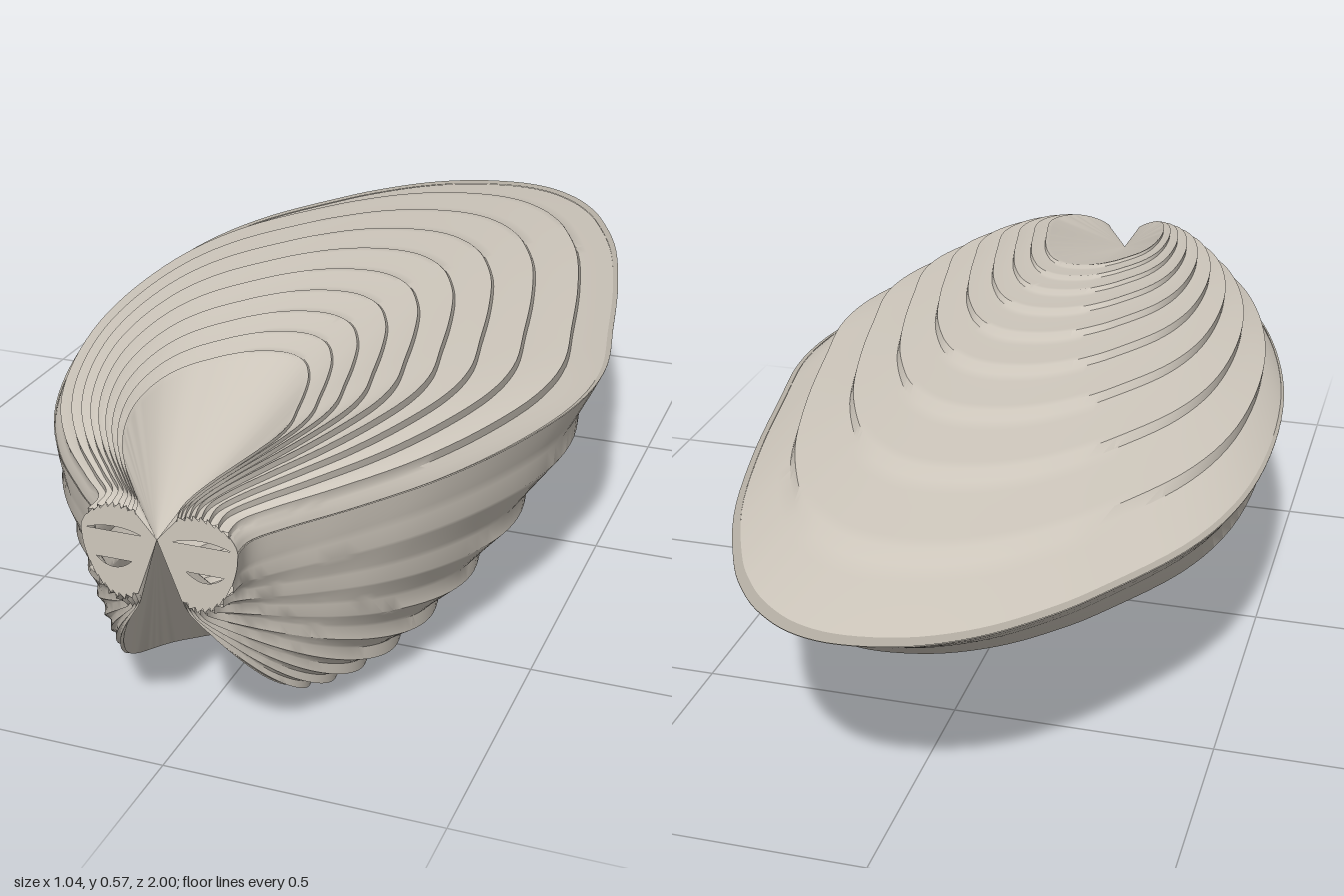
import * as THREE from 'three';
import { toCreasedNormals } from 'three/addons/utils/BufferGeometryUtils.js';

const HX = 0.01, HY = 0.43, RATIO = 0.86, COLS = 135;

// Rim outline (x, z) from the right ear, round the back, to the left ear
const rim = new THREE.SplineCurve([
  [-0.125, 1], [-0.128, 0.95], [-0.185, 0.89], [-0.29, 0.77], [-0.385, 0.61], [-0.46, 0.4],
  [-0.51, 0.16], [-0.525, -0.1], [-0.505, -0.34], [-0.443, -0.545], [-0.33, -0.74], [-0.26, -0.835],
  [-0.175, -0.92], [-0.075, -0.978], [0.035, -1], [0.12, -0.985], [0.19, -0.94], [0.245, -0.88],
  [0.3, -0.79], [0.375, -0.61], [0.437, -0.37], [0.483, -0.13], [0.518, 0.08], [0.507, 0.265],
  [0.45, 0.46], [0.37, 0.635], [0.275, 0.78], [0.195, 0.885], [0.153, 0.95], [0.15, 1],
].map(([x, z]) => new THREE.Vector2(x - HX, 1 - z))).getPoints(COLS);

// side: +1 upper, -1 lower; spiral: tightness; start, end: scales of the rim and the beak
const valves = {
  upper: { side: 1, spiral: 5.7, full: 7, ear: 0.045, tooth: 0.015, shift: 0.2, start: 0.985, end: 0.25 },
  lower: { side: -1, spiral: 1.62, full: 4, ear: 0.11, tooth: 0.022, shift: 0.35, start: 1, end: 0.28 },
};

const earDrop = (v, s) => v.ear * Math.sqrt(Math.max(0, Math.sin(Math.PI * Math.min(s, 1))));

// One point on a growth line: s is its scale about the hinge, saw its raised edge
function growthPoint(v, s, saw, p) {
  const angle = -Math.log(s / v.start) / v.spiral;
  const f = Math.max(0, p.y) / 2;
  const dome = (1 - Math.exp(-v.full * f)) / (1 - Math.exp(-v.full));
  const rise = 2 * s * Math.sin(angle) * dome
    + earDrop(v, s / v.start) * Math.exp(-f * 7)
    + v.tooth * saw * Math.min(1, s * 2) * (0.6 + 0.4 * Math.sin(Math.PI * f));
  return [
    HX + s * p.x * (1 + 0.02 * saw),
    Math.max(0, HY + v.side * rise),
    1 - s * Math.cos(angle) * Math.max(0, p.y),
  ];
}

// Valve lofted through overlapping growth layers, closed by a fan from beak to hinge
function valveGeometry(v) {
  const rows = [[v.start, 0]];
  for (let layer = 0; layer < 10; layer++) {
    for (const frac of [0, 0.12, 0.3, 0.5, 0.7, 0.88]) {
      const s = v.start * Math.pow(RATIO, layer + frac - v.shift);
      if (s >= v.start || s <= v.end * 1.01) continue;
      rows.push([s, layer === 0 ? 0 : Math.pow(1 - frac, 1.5)]);
    }
  }
  rows.push([v.end, 0.3]);

  const pos = [], idx = [], n = rim.length;
  const face = (a, b, c) => (v.side > 0 ? idx.push(a, c, b) : idx.push(a, b, c));
  for (const [s, saw] of rows) for (const p of rim) pos.push(...growthPoint(v, s, saw, p));
  const hinge = rows.length * n;
  pos.push(HX, HY, 1);
  for (let i = 0; i < rows.length; i++) {
    for (let j = 0; j < n - 1; j++) {
      const a = i * n + j;
      if (i === rows.length - 1) {
        face(a, a + 1, hinge);
      } else {
        face(a, a + 1, a + n);
        face(a + 1, a + n + 1, a + n);
      }
    }
  }
  const g = new THREE.BufferGeometry();
  g.setAttribute('position', new THREE.Float32BufferAttribute(pos, 3));
  g.setIndex(idx);
  return toCreasedNormals(g, 0.7);
}

// Narrow crescent slit in an ear face
function slit(x0, x1, y, bulge) {
  const path = new THREE.Path();
  path.moveTo(x0, y);
  path.quadraticCurveTo((x0 + x1) / 2, y + bulge, x1, y);
  path.lineTo(x0, y);
  return path;
}

// Flat scalloped ear face at the hinge; w is the signed width
function earGeometry(v, w) {
  const shape = new THREE.Shape();
  shape.moveTo(HX, HY);
  for (let i = 0; i <= 60; i++) {
    const s = v.end + (1 - v.end) * i / 60;
    const notch = 0.011 * (1 - ((s * 11) % 1)) * Math.sin(Math.PI * s);
    shape.lineTo(HX + w * s, HY + v.side * (earDrop(v, s) + notch));
  }
  if (v.side < 0) shape.holes.push(slit(HX + w * 0.35, HX + w * 0.82, HY - 0.048, -0.03));
  else shape.holes.push(slit(HX + w * 0.2, HX + w * 0.92, HY + 0.002, 0.018));
  return new THREE.ShapeGeometry(shape, 12);
}

// Flat lip left showing between the two valve edges
function lipGeometry() {
  const pos = [], idx = [];
  rim.forEach((p, j) => {
    for (const s of [1, 0.985]) pos.push(HX + s * p.x, HY + 0.001, 1 - s * Math.max(0, p.y));
    if (j) {
      const a = 2 * j - 2;
      idx.push(a, a + 1, a + 2, a + 1, a + 3, a + 2);
    }
  });
  const g = new THREE.BufferGeometry();
  g.setAttribute('position', new THREE.Float32BufferAttribute(pos, 3));
  g.setIndex(idx);
  g.computeVertexNormals();
  return g;
}

export function createModel() {
  const shell = new THREE.MeshStandardMaterial({ color: 0xcfc8bd, side: THREE.DoubleSide });
  shell.name = 'shell';
  const edge = new THREE.MeshStandardMaterial({ color: 0xb8b2a7, side: THREE.DoubleSide });
  edge.name = 'shellEdge';

  const model = new THREE.Group();
  model.name = 'bivalveShell';
  const add = (name, geometry, material, z = 0) => {
    const mesh = new THREE.Mesh(geometry, material);
    mesh.name = name;
    mesh.position.z = z;
    model.add(mesh);
  };

  for (const [name, v] of Object.entries(valves)) {
    add(name + 'Valve', valveGeometry(v), shell);
    add(name + 'RightEar', earGeometry(v, -0.135), shell, 1);
    add(name + 'LeftEar', earGeometry(v, 0.14), shell, 1);
  }
  add('rimLip', lipGeometry(), edge);
  return model;
}
